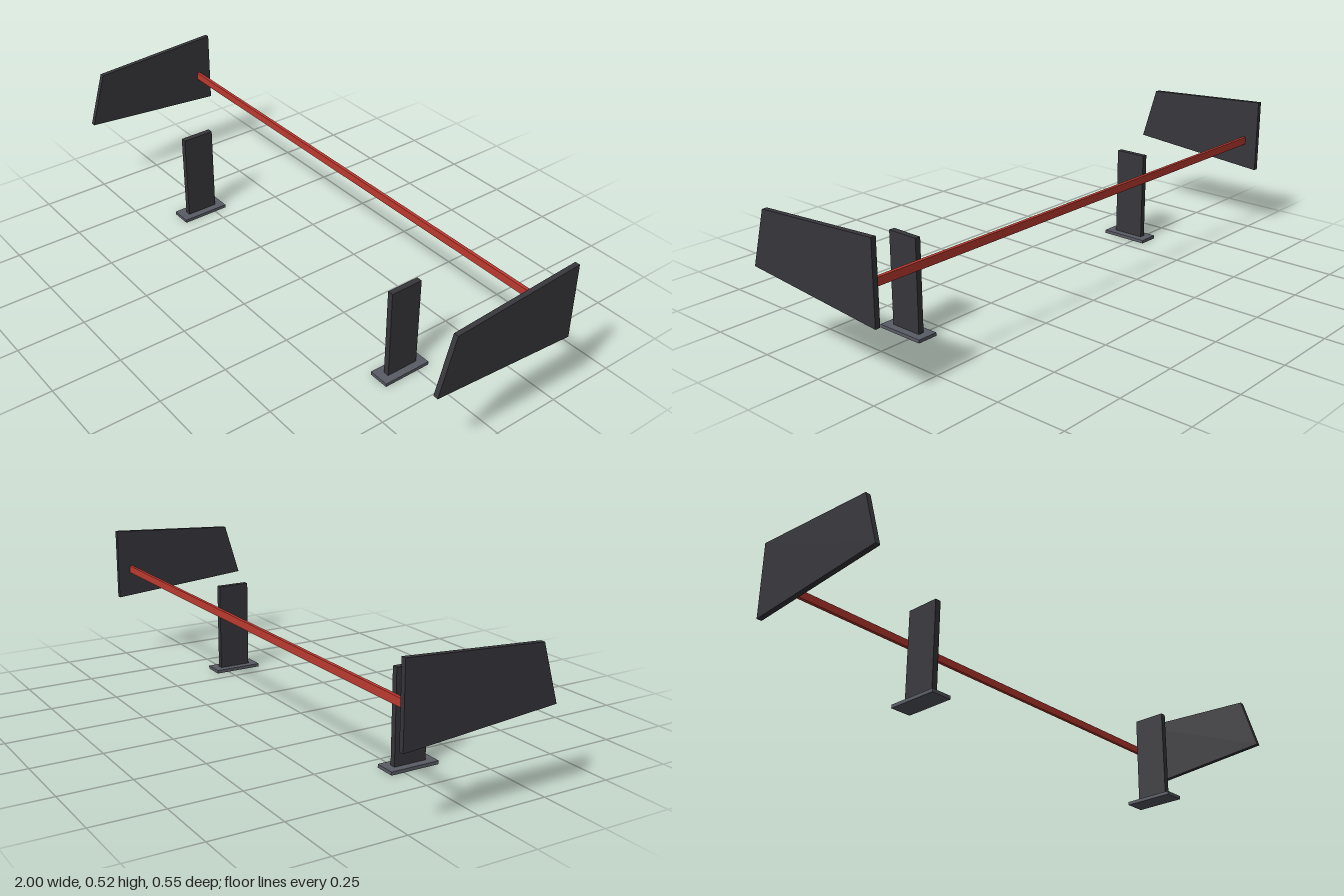
import * as THREE from 'three';

export function createModel() {
  const model = new THREE.Group();
  model.name = 'rearWingFrame';

  const darkPanel = new THREE.MeshStandardMaterial({ color: 0x37363b });
  darkPanel.name = 'dark panel';
  const greyFoot = new THREE.MeshStandardMaterial({ color: 0x5a5c66 });
  greyFoot.name = 'grey foot';
  const redBar = new THREE.MeshStandardMaterial({ color: 0xbf3a30 });
  redBar.name = 'red bar';

  const add = (name, geometry, material, x = 0, y = 0, z = 0) => {
    const mesh = new THREE.Mesh(geometry, material);
    mesh.name = name;
    mesh.position.set(x, y, z);
    model.add(mesh);
  };

  // Side profile of an end plate, as (z, y) corners
  const thickness = 0.018;
  const profile = new THREE.Shape([
    new THREE.Vector2(0.274, 0.291),
    new THREE.Vector2(0.214, 0.489),
    new THREE.Vector2(-0.274, 0.519),
    new THREE.Vector2(-0.274, 0.246),
  ]);
  const plate = new THREE.ExtrudeGeometry(profile, { depth: thickness, bevelEnabled: false });
  plate.translate(0, 0, -thickness / 2);
  plate.rotateY(-Math.PI / 2);

  const post = new THREE.BoxGeometry(0.021, 0.33, 0.121);
  const foot = new THREE.BoxGeometry(0.076, 0.012, 0.183);

  // Mirrored end plates, posts and feet
  for (const [side, s] of [['left', 1], ['right', -1]]) {
    add(side + 'EndPlate', plate, darkPanel, s * (1 - thickness / 2));
    add(side + 'Post', post, darkPanel, s * 0.595, 0.177, 0.0425);
    add(side + 'Foot', foot, greyFoot, s * 0.595, 0.006, 0.0435);
  }

  // Trailing bar between the end plates
  add('crossBar', new THREE.BoxGeometry(1.97, 0.028, 0.012), redBar, 0, 0.358, -0.219);

  return model;
}
